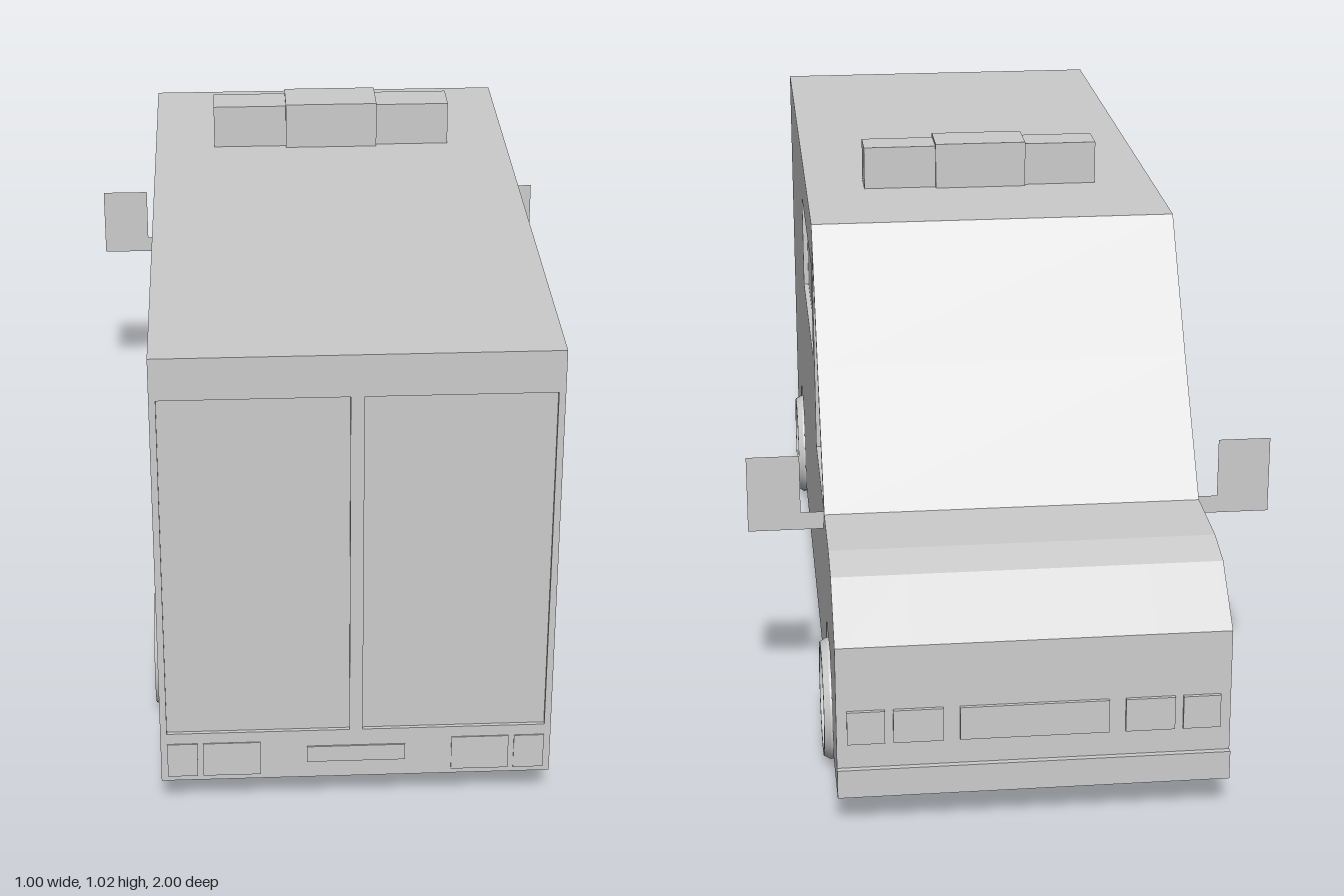
import * as THREE from 'three';
import { toCreasedNormals } from 'three/addons/utils/BufferGeometryUtils.js';

const material = new THREE.MeshStandardMaterial({ color: 0xcccccc });
const thinMaterial = new THREE.MeshStandardMaterial({ color: 0xcccccc, side: THREE.DoubleSide });

const HALF = 0.357;          // half width of the body
const FLOOR = 0.065, ROOF = 0.93, BELT = 0.465;
const AXLES = [0.625, -0.705];

const toPoints = (list) => list.map(([a, b]) => new THREE.Vector2(a, b));
const rect = (x0, x1, y0, y1) => toPoints([[x0, y0], [x1, y0], [x1, y1], [x0, y1]]);

export function createModel() {
  const van = new THREE.Group();
  van.name = 'van';

  function add(name, geometry, mat = material) {
    const mesh = new THREE.Mesh(geometry, mat);
    mesh.name = name;
    van.add(mesh);
    return mesh;
  }

  function box(name, x0, x1, y0, y1, z0, z1) {
    const mesh = add(name, new THREE.BoxGeometry(x1 - x0, y1 - y0, z1 - z0));
    mesh.position.set((x0 + x1) / 2, (y0 + y1) / 2, (z0 + z1) / 2);
    return mesh;
  }

  // Extrudes a side profile given as [z, y] across the width from x0 to x1
  function sideExtrude(name, outline, x0, x1, holes = []) {
    const shape = new THREE.Shape(toPoints(outline));
    shape.holes = holes.map((h) => new THREE.Path(h));
    const geometry = new THREE.ExtrudeGeometry(shape, { depth: x1 - x0, bevelEnabled: false });
    geometry.rotateY(-Math.PI / 2).translate(x1, 0, 0);
    return add(name, geometry);
  }

  // Bottom edge from nose to tail, stepping around each wheel arch
  const archEdge = [...AXLES].reverse().flatMap((z) => [
    [z - 0.122, FLOOR], [z - 0.122, 0.145], [z - 0.072, 0.246],
    [z + 0.072, 0.246], [z + 0.122, 0.145], [z + 0.122, FLOOR],
  ]);
  const nose = [[-0.64, BELT], [-0.8, 0.462], [-0.88, 0.445], [-0.985, 0.355], [-0.99, FLOOR]];
  const tail = [[0.99, FLOOR], [0.99, ROOF], [-0.29, ROOF]];
  const cabSlope = [[-0.29, 0.905], [-0.62, BELT]];

  // Body: solid core, arched flanks, then thin outer skins with recessed windows
  sideExtrude('bodyCore', [...tail, ...cabSlope, ...nose], -0.22, 0.22);
  for (const side of [1, -1]) {
    const label = side > 0 ? 'left' : 'right';
    const layer = (name, outline, a, b, holes) =>
      sideExtrude(label + name, outline, Math.min(side * a, side * b), Math.max(side * a, side * b), holes);
    layer('Flank', [...tail, ...cabSlope, ...nose, ...archEdge], 0.22, HALF - 0.01);
    layer('SidePanel', [...tail, [-0.29, BELT], ...nose, ...archEdge], HALF - 0.01, HALF,
      [rect(-0.225, 0.27, 0.63, 0.83)]);

    // Door mirror: flat plate on a short arm
    const mirror = new THREE.Shape(toPoints([
      [0.35, 0.42], [0.5, 0.42], [0.5, 0.57], [0.4, 0.57], [0.4, 0.455], [0.35, 0.455],
    ].map(([x, y]) => [x * side, y])));
    add(label + 'Mirror', new THREE.ShapeGeometry(mirror), thinMaterial).position.z = -0.6;
  }

  // Windscreen slab across the full width
  sideExtrude('windscreen',
    [[-0.29, ROOF], [-0.29, 0.9], [-0.615, BELT], [-0.64, BELT], [-0.462, 0.695]], -HALF, HALF);

  // Rear panel with two recessed doors
  const rear = new THREE.Shape(rect(-HALF, HALF, FLOOR, ROOF));
  rear.holes = [1, -1].map((s) => new THREE.Path(rect(s * 0.012, s * 0.345, 0.167, 0.85)));
  add('rearPanel', new THREE.ExtrudeGeometry(rear, { depth: 0.007, bevelEnabled: false })).position.z = 0.99;
  box('rearPlate', -0.09, 0.09, 0.1, 0.133, 0.99, 1);

  // Bumper, grille and lamps
  box('frontBumper', -HALF, HALF, FLOOR, 0.12, -1, -0.98);
  box('grille', -0.135, 0.135, 0.168, 0.232, -0.994, -0.98);
  for (const s of [1, -1]) {
    for (const [name, a, b] of [['innerHeadlamp', 0.165, 0.255], ['outerHeadlamp', 0.27, 0.338]]) {
      box(name, Math.min(s * a, s * b), Math.max(s * a, s * b), 0.168, 0.232, -0.994, -0.98);
    }
    for (const [name, a, b] of [['reversingLamp', 0.175, 0.28], ['tailLamp', 0.29, 0.345]]) {
      box(name, Math.min(s * a, s * b), Math.max(s * a, s * b), 0.075, 0.145, 0.99, 0.999);
    }
  }

  // Roof light bar
  box('lightBarCentre', -0.092, 0.092, ROOF, 1.022, -0.052, 0.042);
  for (const s of [1, -1]) {
    box('lightBarEnd', s > 0 ? 0.092 : -0.238, s > 0 ? 0.238 : -0.092, ROOF, 1.016, -0.042, 0.032);
  }

  // Wheels: one turned profile of tyre, dished rim and hub
  const wheelProfile = toPoints([
    [0, 0.252], [0.115, 0.252], [0.115, 0.36], [0.108, 0.372], [0.096, 0.372],
    [0.09, 0.358], [0.026, 0.358], [0.022, 0.368], [0, 0.368],
  ]);
  const wheelGeometry = toCreasedNormals(new THREE.LatheGeometry(wheelProfile, 32), 0.5);
  for (const z of AXLES) {
    for (const s of [1, -1]) {
      const wheel = add(z > 0 ? 'rearWheel' : 'frontWheel', wheelGeometry);
      wheel.rotation.z = -s * Math.PI / 2;
      wheel.position.set(0, 0.115, z);
    }
  }
  return van;
}
